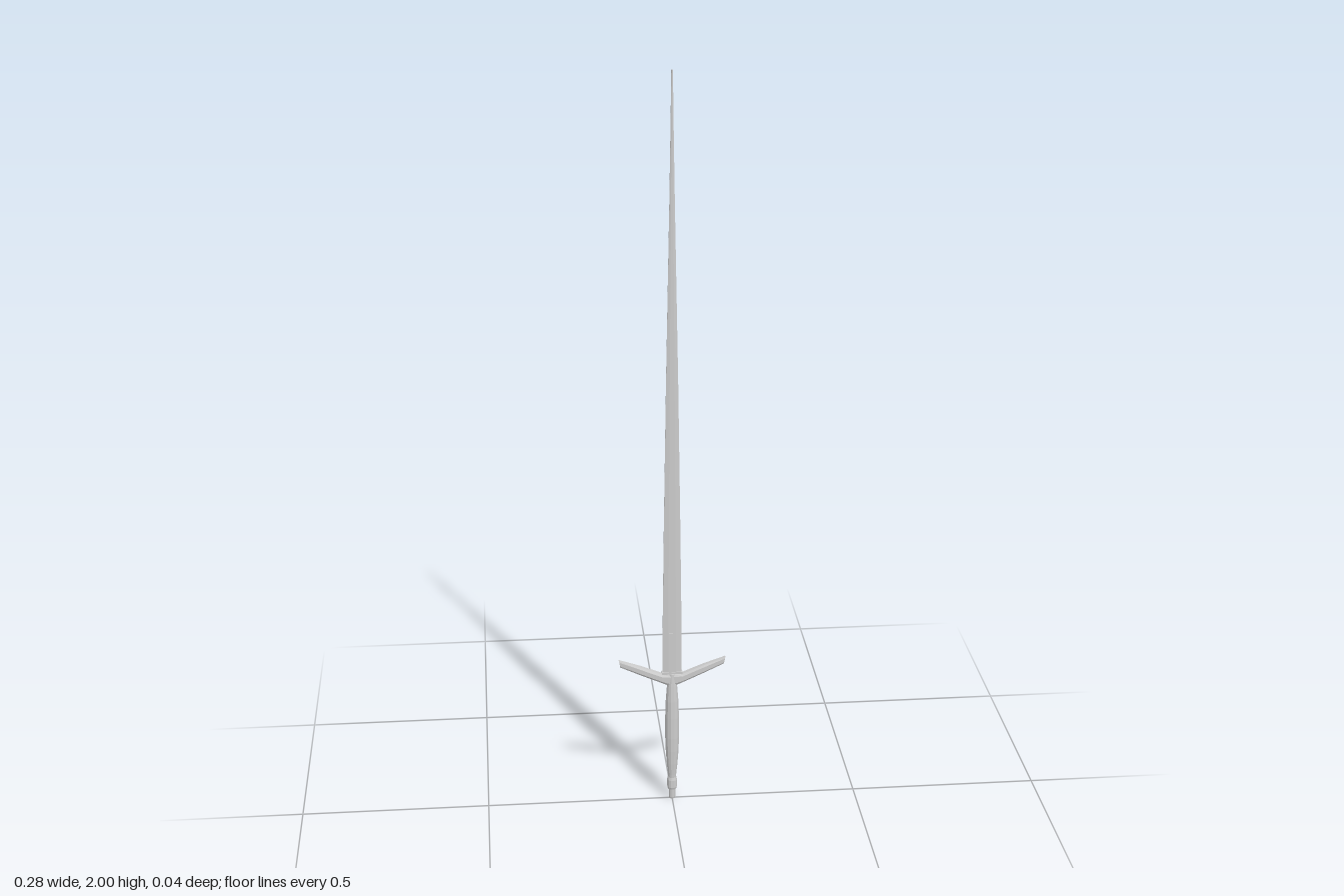
import * as THREE from 'three';

const material = new THREE.MeshStandardMaterial({ color: 0xcccccc, flatShading: true });

// Skin a closed, capped surface over rings of equal point count
function loft(name, rings) {
  const n = rings[0].length;
  const index = [];
  for (let i = 0; i < rings.length - 1; i++) {
    for (let j = 0; j < n; j++) {
      const a = i * n + j, b = i * n + (j + 1) % n;
      index.push(a, b, b + n, a, b + n, a + n);
    }
  }
  const last = (rings.length - 1) * n;
  for (let j = 1; j < n - 1; j++) {
    index.push(0, j + 1, j);
    index.push(last, last + j, last + j + 1);
  }
  const indexed = new THREE.BufferGeometry();
  indexed.setAttribute('position', new THREE.Float32BufferAttribute(rings.flat(2), 3));
  indexed.setIndex(index);
  const geometry = indexed.toNonIndexed();
  geometry.computeVertexNormals();
  const mesh = new THREE.Mesh(geometry, material);
  mesh.name = name;
  return mesh;
}

// Round twelve-sided section stacked along y
const roundRing = ([y, r]) => Array.from({ length: 12 }, (_, i) => {
  const a = (i + 0.5) / 12 * Math.PI * 2;
  return [r * Math.cos(a), y, -r * Math.sin(a)];
});

// Flat blade section: broad faces, bevels and narrow blunt edges
const bladeRing = ([y, w, t]) => [
  [w, -0.5], [w * 0.4, -1], [-w * 0.4, -1], [-w, -0.5],
  [-w, 0.5], [-w * 0.4, 1], [w * 0.4, 1], [w, 0.5],
].map(([x, k]) => [x, y, k * t]);

// Bevelled rectangular guard section placed along x
const guardRing = ([x, y, h, d, lean]) => [
  [1, -0.6], [1, 0.6], [0.55, 1], [-0.55, 1],
  [-1, 0.6], [-1, -0.6], [-0.55, -1], [0.55, -1],
].map(([u, v]) => [x + lean * u, y + h * u, d * v]);

function box(name, w, h, d, y) {
  const mesh = new THREE.Mesh(new THREE.BoxGeometry(w, h, d), material);
  mesh.position.y = y;
  mesh.name = name;
  return mesh;
}

export function createModel() {
  const model = new THREE.Group();
  model.name = 'sword';

  // Long tapering blade: height, half width, half thickness
  model.add(loft('blade', [
    [0.36, 0.0258, 0.0045], [0.5, 0.0252, 0.0045], [0.8, 0.0215, 0.004],
    [1.2, 0.0155, 0.0036], [1.47, 0.0105, 0.0033], [1.67, 0.0068, 0.003],
    [1.86, 0.0038, 0.0028], [2.0, 0.002, 0.002],
  ].map(bladeRing)));

  // Reinforcing strap at the blade root and its collar
  model.add(box('rootStrap', 0.018, 0.14, 0.012, 0.43));
  model.add(box('bladeCollar', 0.055, 0.028, 0.014, 0.372));

  // Swept crossguard: x, centre y, half height, half depth, end lean
  const arm = [
    [0.028, 0.3675, 0.0125, 0.0105, 0], [0.085, 0.392, 0.0115, 0.0095, 0],
    [0.1405, 0.4145, 0.01, 0.005, 0.002],
  ];
  const mirrored = arm.map(([x, y, h, d, l]) => [-x, y, h, d, -l]).reverse();
  model.add(loft('crossguard', [...mirrored, [0, 0.362, 0.02, 0.0105, 0], ...arm].map(guardRing)));

  // Swelling grip
  model.add(loft('grip', [
    [0.06, 0.0105], [0.075, 0.0115], [0.11, 0.015], [0.15, 0.0178], [0.19, 0.019],
    [0.25, 0.0188], [0.3, 0.0172], [0.345, 0.0138], [0.38, 0.0105],
  ].map(roundRing)));

  // Stepped pommel
  model.add(loft('pommel', [
    [0.03, 0.0115], [0.036, 0.0135], [0.058, 0.0135], [0.066, 0.0115],
  ].map(roundRing)));
  model.add(loft('pommelCap', [
    [0, 0.0075], [0.005, 0.0088], [0.034, 0.0092],
  ].map(roundRing)));

  return model;
}
